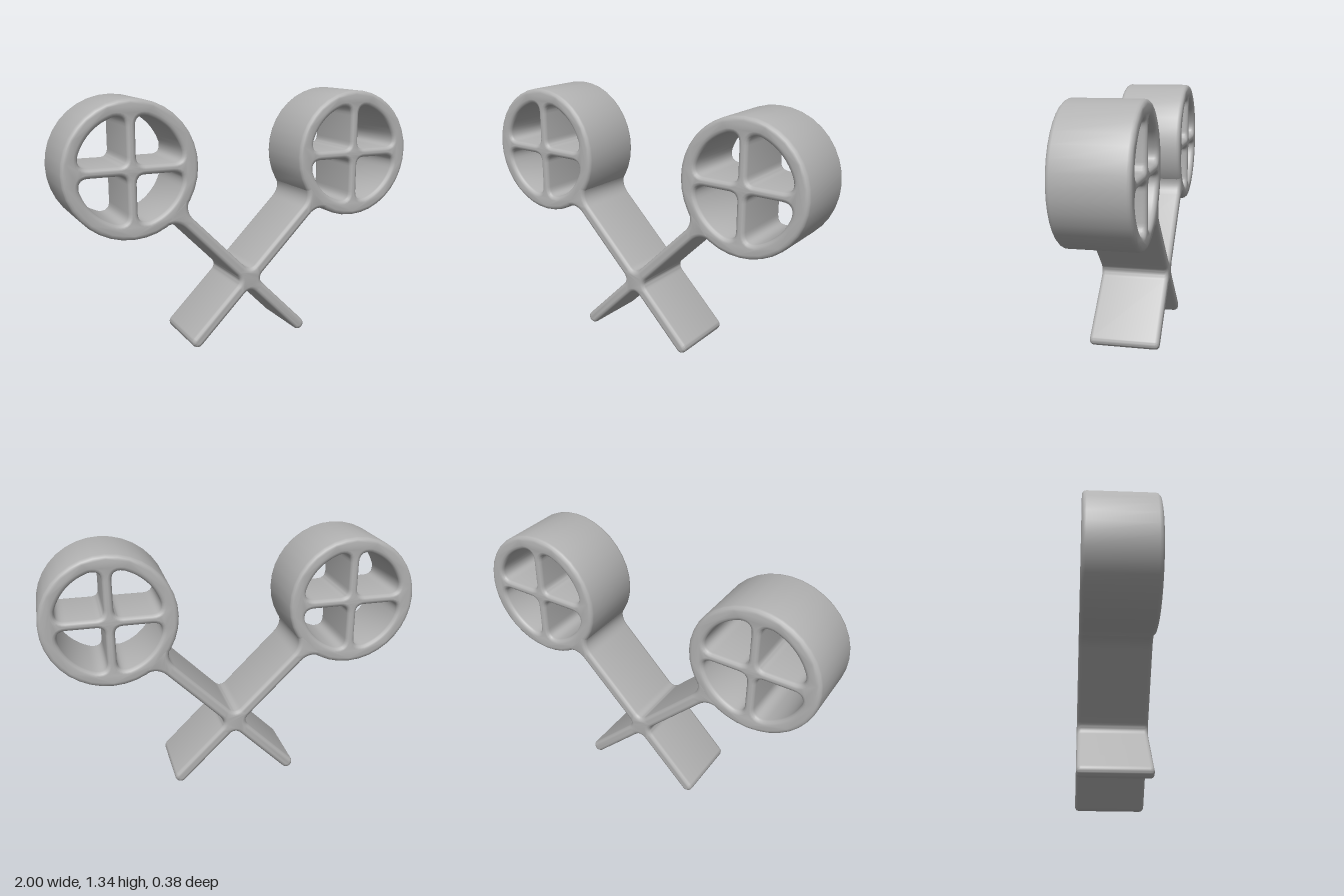
import * as THREE from 'three';
import { toCreasedNormals } from 'three/addons/utils/BufferGeometryUtils.js';

const DEPTH = 0.38, BEVEL = 0.022;
const CROSS_Y = 0.346, WHEEL_X = 0.648, WHEEL_Y = 0.994;

// Thick plate with softened front and back edges, centred on z = 0
function plate(shape) {
  const geo = new THREE.ExtrudeGeometry(shape, {
    depth: DEPTH - 2 * BEVEL, curveSegments: 10,
    bevelThickness: BEVEL, bevelSize: BEVEL, bevelOffset: -BEVEL, bevelSegments: 3,
  });
  geo.translate(0, 0, BEVEL - DEPTH / 2);
  return toCreasedNormals(geo, 0.8);
}

// Round rim with four rounded openings that leave a cross of spokes
function wheelShape() {
  const R = 0.352, r = 0.277, s = 0.024, f = 0.045;
  const shape = new THREE.Shape(
    Array.from({ length: 36 }, (_, i) => {
      const a = (i / 36) * Math.PI * 2;
      return new THREE.Vector2(R * Math.cos(a), R * Math.sin(a));
    }));
  const a0 = Math.atan2(0.085, 0.262);
  const ax = r * Math.cos(a0), ay = r * Math.sin(a0);
  const quarter = new THREE.Path();
  quarter.moveTo(s, s + f);
  quarter.quadraticCurveTo(s, s, s + f, s);
  quarter.lineTo(0.215, s);
  quarter.quadraticCurveTo(0.275, s, ax, ay);
  quarter.absarc(0, 0, r, a0, Math.PI / 2 - a0, false);
  quarter.quadraticCurveTo(s, 0.275, s, 0.215);
  quarter.lineTo(s, s + f);
  // Drop repeated points, then turn the opening to each quadrant
  const pts = quarter.getPoints(7).filter((p, i, all) =>
    p.distanceTo(all[(i + 1) % all.length]) > 1e-4);
  for (let k = 0; k < 4; k++) {
    const turned = pts.map(p => p.clone().rotateAround(new THREE.Vector2(), k * Math.PI / 2));
    shape.holes.push(new THREE.Path(turned));
  }
  return shape;
}

// Four arms with filleted inner corners: two flare into wheels, two end round
function handlesShape() {
  const w = 0.032, f = 0.08, tip = 0.438;
  const outline = new THREE.Path();
  for (let k = 0; k < 4; k++) {
    const at = (a, b) => {
      const p = new THREE.Vector2(a, b).rotateAround(new THREE.Vector2(), k * Math.PI / 2);
      return [p.x, p.y];
    };
    if (k === 0) outline.moveTo(...at(f, -w));
    if (k < 2) {
      outline.lineTo(...at(0.49, -w));
      outline.quadraticCurveTo(...at(0.56, -w), ...at(0.582, -0.095));
      outline.lineTo(...at(0.615, -0.08));
      outline.lineTo(...at(0.615, 0.08));
      outline.lineTo(...at(0.582, 0.095));
      outline.quadraticCurveTo(...at(0.56, w), ...at(0.49, w));
    } else {
      outline.lineTo(...at(tip, -w));
      const turn = k * Math.PI / 2;
      outline.absarc(...at(tip, 0), w, turn - Math.PI / 2, turn + Math.PI / 2, false);
    }
    outline.lineTo(...at(f, w));
    outline.quadraticCurveTo(...at(w, w), ...at(w, f));
  }
  const pts = outline.getPoints(8).filter((p, i, all) =>
    p.distanceTo(all[(i + 1) % all.length]) > 1e-4);
  return new THREE.Shape(pts);
}

export function createModel() {
  const group = new THREE.Group();
  group.name = 'crossedSpokedWheels';
  const grey = new THREE.MeshStandardMaterial({ color: 0xb2b2b2 });
  grey.name = 'plain grey';

  // Crossed handles, turned to an X
  const handles = new THREE.Mesh(plate(handlesShape()), grey);
  handles.name = 'crossedHandles';
  handles.rotation.z = Math.PI / 4;
  handles.position.y = CROSS_Y;
  group.add(handles);

  // One spoked wheel on each upper arm
  const wheelGeo = plate(wheelShape());
  for (const [name, side] of [['leftWheel', 1], ['rightWheel', -1]]) {
    const wheel = new THREE.Mesh(wheelGeo, grey);
    wheel.name = name;
    wheel.position.set(side * WHEEL_X, WHEEL_Y, 0);
    group.add(wheel);
  }
  return group;
}
